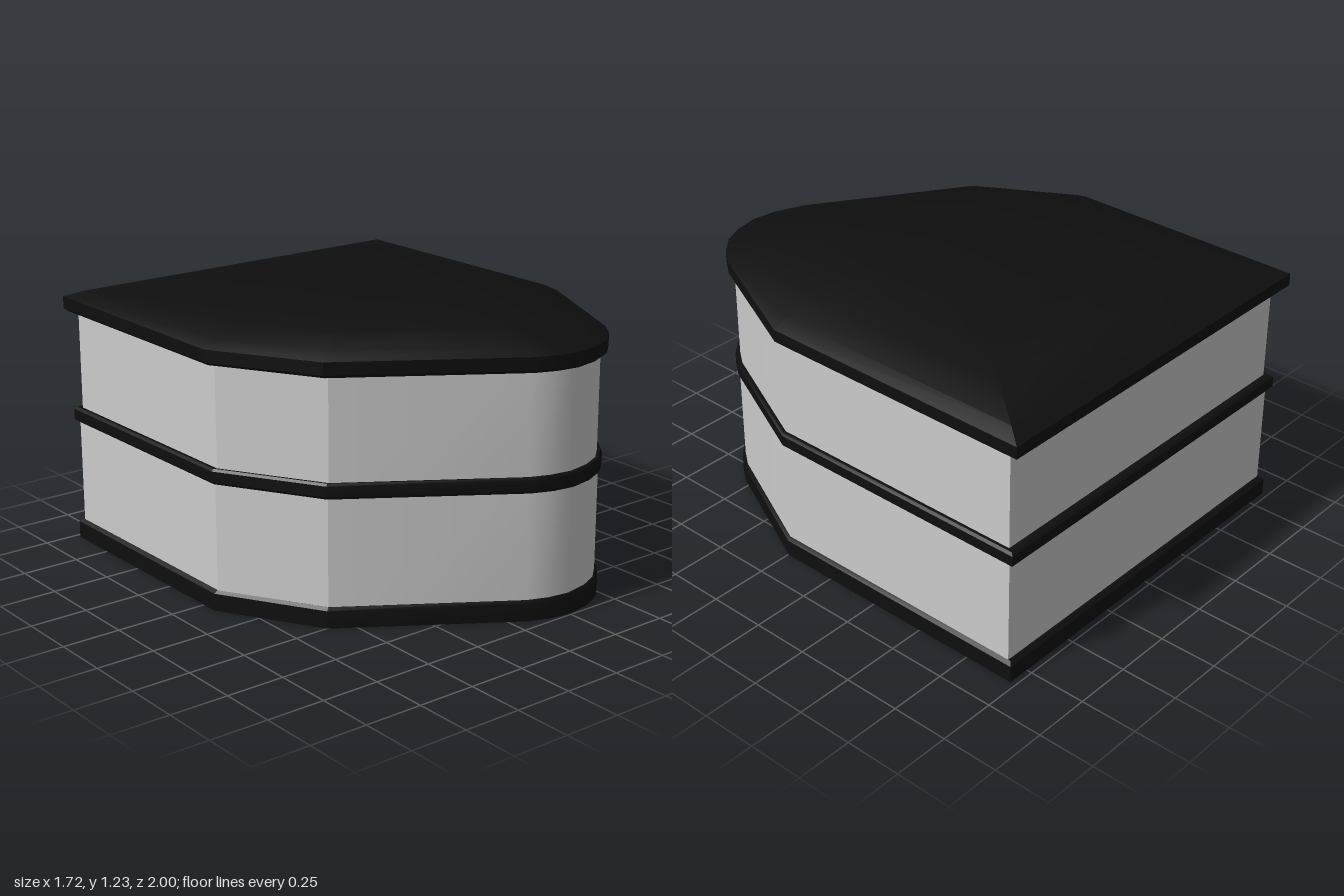
import * as THREE from 'three';
import { toCreasedNormals } from 'three/addons/utils/BufferGeometryUtils.js';

// Plan outline (x, z), widest at the roof rim
const OUTLINE = [
  [-0.86, -1], [0.86, -1], [0.86, 0.24], [0.6, 0.79], [0.54, 0.87], [0.46, 0.94],
  [0.37, 0.98], [0.26, 1], [0.16, 0.985], [0.07, 0.95], [-0.61, 0.5], [-0.86, 0.07],
];

// Outline fitted to a half width and a z range, at height y
const ring = (y, halfWidth, zBack, zFront, xMid = 0) => OUTLINE.map(([x, z]) => [
  xMid + (x / 0.86) * halfWidth, y, zBack + ((z + 1) / 2) * (zFront - zBack),
]);

// Skin between successive rings, listed upwards on the outside
function loft(rings, capped = false) {
  const n = OUTLINE.length;
  const index = [];
  for (let j = 0; j < rings.length - 1; j++) {
    for (let i = 0; i < n; i++) {
      const a = j * n + i, b = j * n + (i + 1) % n;
      index.push(a, a + n, b, b, a + n, b + n);
    }
  }
  if (capped) {
    const top = (rings.length - 1) * n;
    for (let i = 1; i < n - 1; i++) {
      index.push(0, i, i + 1, top, top + i + 1, top + i);
    }
  }
  const geometry = new THREE.BufferGeometry();
  geometry.setAttribute('position', new THREE.Float32BufferAttribute(rings.flat(2), 3));
  geometry.setIndex(index);
  return toCreasedNormals(geometry, 0.4);
}

export function createModel() {
  const group = new THREE.Group();
  const grey = new THREE.MeshStandardMaterial({ color: 0xcccccc, side: THREE.DoubleSide });
  const black = new THREE.MeshStandardMaterial({ color: 0x0e0e0e });
  const add = (name, geometry, material) => {
    const mesh = new THREE.Mesh(geometry, material);
    mesh.name = name;
    group.add(mesh);
  };

  // Thin glazed walls, open inside, tapering slightly per storey
  add('lowerWall', loft([ring(0.04, 0.832, -0.95, 0.98), ring(0.57, 0.832, -0.95, 0.98)]), grey);
  add('upperWall', loft([ring(0.57, 0.823, -0.94, 0.975), ring(1.04, 0.823, -0.94, 0.975)]), grey);

  // Trim bands: closed hollow frames with chamfered outer edges
  const band = (y0, y1, c0, c1) => {
    const inner = (y) => ring(y, 0.805, -0.925, 0.955);
    return loft([
      inner(y0), ring(y0, 0.846 - c0, -0.975 + c0, 0.993 - c0 / 2),
      ring(y0 + c0, 0.846, -0.975, 0.993), ring(y1 - c1, 0.846, -0.975, 0.993),
      ring(y1, 0.846 - c1, -0.975 + c1, 0.993 - c1 / 2), inner(y1), inner(y0),
    ]);
  };
  add('baseBand', band(0, 0.088, 0, 0.014), black);
  add('middleBand', band(0.54, 0.605, 0.01, 0.01), black);

  // Shallow domed roof: rim, then rings shrinking towards the flat top
  const dome = [[1.095, 1], [1.125, 0.93], [1.17, 0.765], [1.203, 0.58], [1.228, 0.41]]
    .map(([y, s]) => ring(y, 0.86 * s, 0.09 - 1.09 * s, 0.09 + 0.91 * s, 0.02 * (1 - s)));
  add('roof', loft([
    ring(1.03, 0.845, -0.985, 0.99), ring(1.042, 0.86, -1, 1), ...dome,
  ], true), black);

  return group;
}
